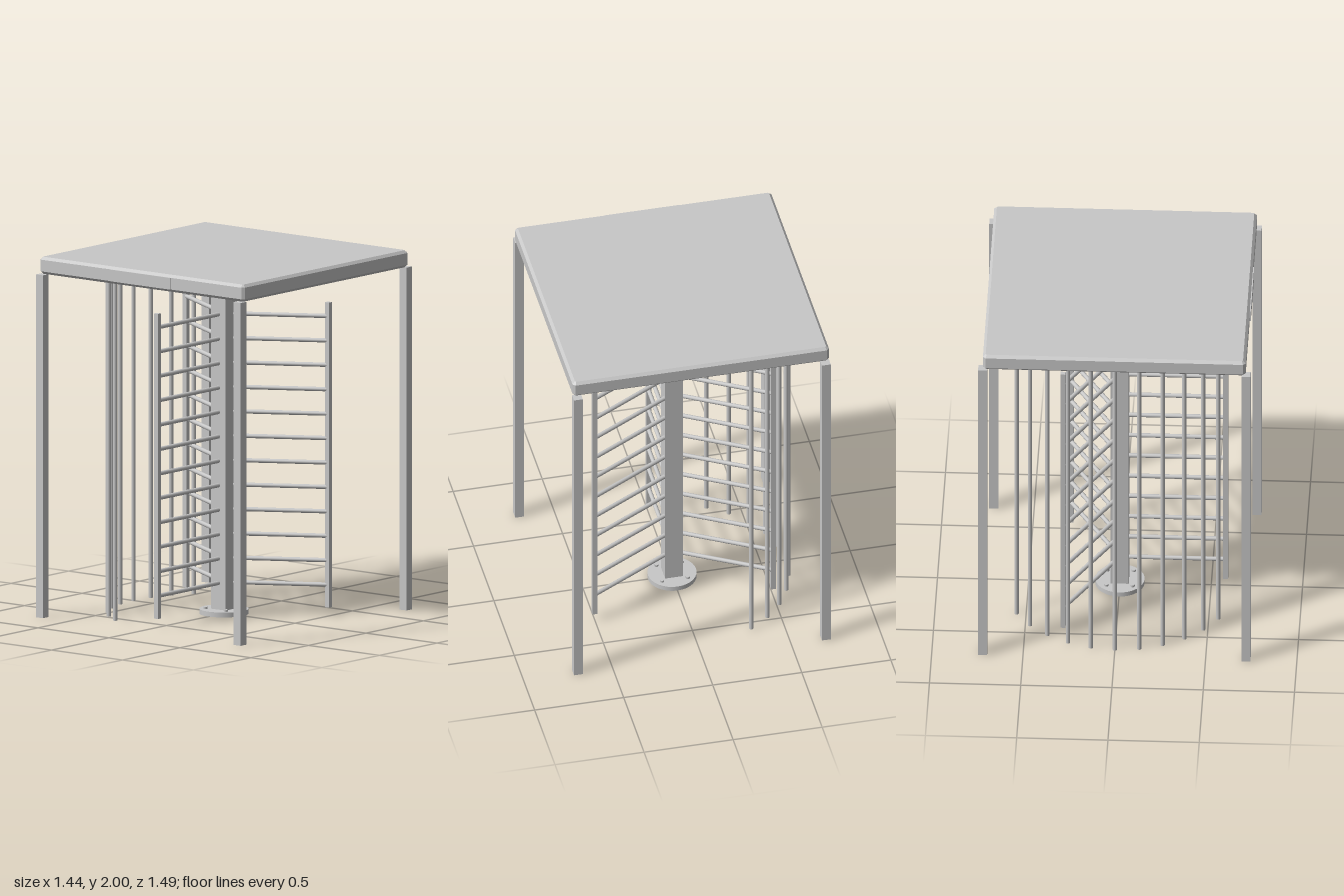
import * as THREE from 'three';

export function createModel() {
  const model = new THREE.Group();
  model.name = 'turnstile';
  const steel = new THREE.MeshStandardMaterial({ color: 0xc8c8c8 });
  steel.name = 'steel grey';

  const add = (name, geometry, x, y, z, parent = model) => {
    const mesh = new THREE.Mesh(geometry, steel);
    mesh.name = name;
    mesh.position.set(x, y, z);
    parent.add(mesh);
    return mesh;
  };
  const TOP = 1.905; // underside of the canopy

  // Canopy: square slab with chamfered edges and corners
  const h = 0.705, c = 0.006, bevel = 0.015;
  const outline = new THREE.Shape([
    [h, -h + c], [h, h - c], [h - c, h], [-h + c, h],
    [-h, h - c], [-h, -h + c], [-h + c, -h], [h - c, -h],
  ].map(([x, y]) => new THREE.Vector2(x, y)));
  const slab = new THREE.ExtrudeGeometry(outline, {
    depth: 2 - TOP - 2 * bevel, bevelEnabled: true,
    bevelSize: bevel, bevelThickness: bevel, bevelSegments: 1,
  });
  slab.rotateX(-Math.PI / 2);
  add('canopy', slab, 0, TOP + bevel, 0);
  add('canopyFrontPlate', new THREE.BoxGeometry(0.42, 0.065, 0.007), 0, 1.9525, 0.7225);

  // Four corner posts
  const post = new THREE.BoxGeometry(0.05, TOP, 0.05);
  for (const x of [-0.696, 0.696])
    for (const z of [-0.721, 0.721]) add('cornerPost', post, x, TOP / 2, z);

  // Central column with base flange, bolts and top collar
  add('column', new THREE.BoxGeometry(0.1, TOP - 0.02, 0.1), 0, (TOP + 0.02) / 2, 0);
  add('baseFlange', new THREE.CylinderGeometry(0.135, 0.135, 0.027, 32), 0, 0.0135, 0);
  add('topCollar', new THREE.CylinderGeometry(0.081, 0.081, 0.066, 24), 0, TOP - 0.033, 0);
  const bolt = new THREE.CylinderGeometry(0.012, 0.012, 0.014, 6);
  for (const x of [-0.072, 0.072])
    for (const z of [-0.072, 0.072]) add('flangeBolt', bolt, x, 0.032, z);

  // Rotor: three wings of horizontal bars, each with an upright at its end
  const R = 0.579;
  const bar = new THREE.CylinderGeometry(0.012, 0.012, R - 0.03, 12);
  bar.rotateX(Math.PI / 2);
  const upright = new THREE.BoxGeometry(0.028, 1.695, 0.028);
  for (let w = 0; w < 3; w++) {
    const angle = (w * Math.PI * 2) / 3;
    const wing = new THREE.Group();
    wing.name = 'rotorWing';
    const sx = Math.sin(angle), cz = Math.cos(angle);
    for (let i = 0; i < 12; i++) {
      const mid = (R + 0.03) / 2;
      add('wingBar', bar, sx * mid, 0.175 + i * 0.1357, cz * mid, wing).rotation.y = angle;
    }
    add('wingUpright', upright, sx * R, 0.8975, cz * R, wing);
    model.add(wing);
  }

  // Fixed cage: arc of vertical rods on the right side
  const rod = new THREE.CylinderGeometry(0.012, 0.012, TOP, 12);
  for (let i = -5; i <= 5; i++) {
    const a = (i * 12 * Math.PI) / 180;
    add('cageRod', rod, -0.638 * Math.cos(a), TOP / 2, 0.638 * Math.sin(a));
  }
  return model;
}
